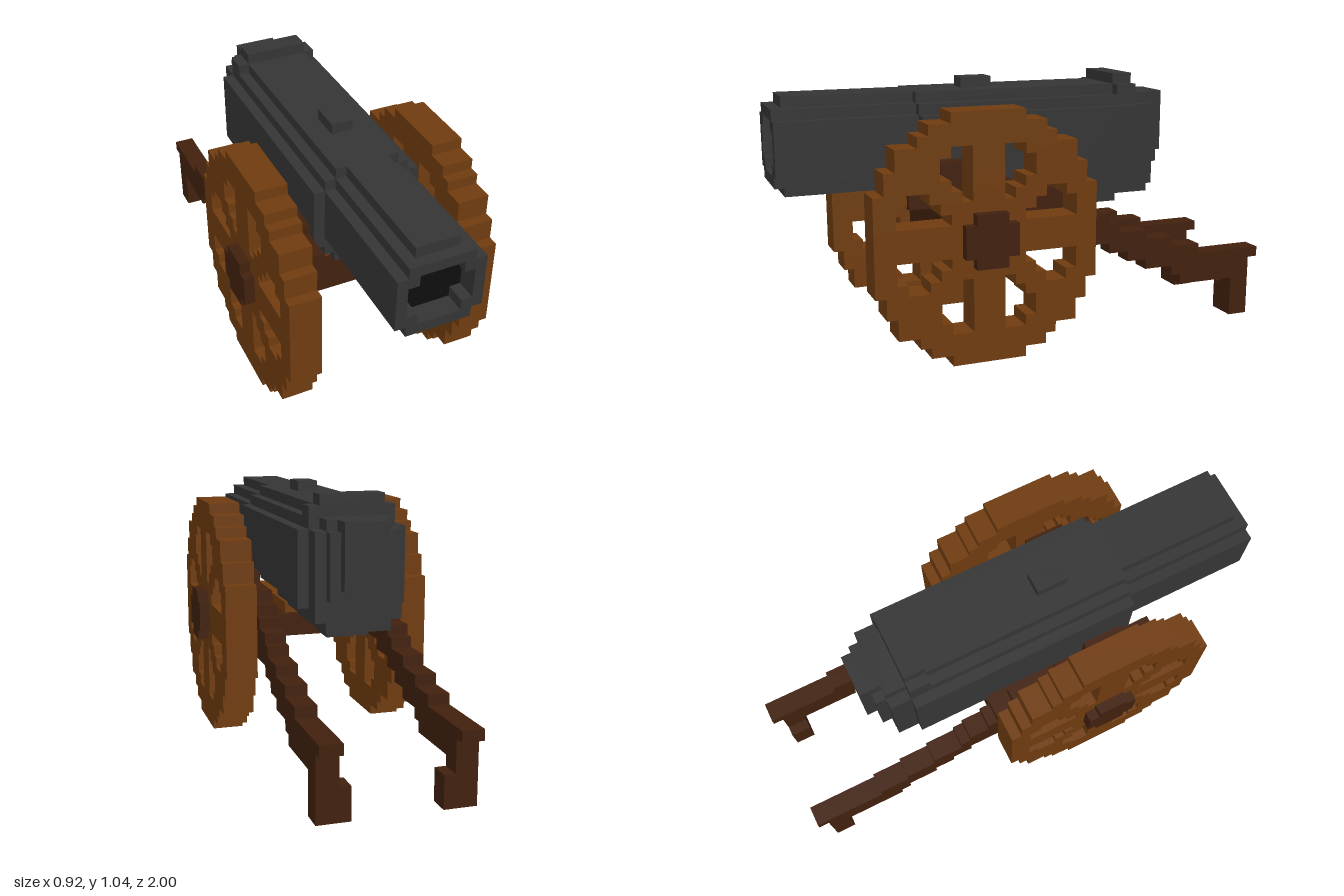
import * as THREE from 'three';
import { mergeGeometries } from 'three/addons/utils/BufferGeometryUtils.js';

const U = 1 / 24; // edge length of one block

const mat = (name, color) => {
  const m = new THREE.MeshStandardMaterial({ color });
  m.name = name;
  return m;
};

// box from block ranges
function box(x0, x1, y0, y1, z0, z1) {
  const g = new THREE.BoxGeometry((x1 - x0) * U, (y1 - y0) * U, (z1 - z0) * U);
  return g.translate((x0 + x1) / 2 * U, (y0 + y1) / 2 * U, (z0 + z1) / 2 * U);
}

// stepped outline from nested rows [halfWidth, bottom, top], widest first
function outline(rows) {
  const right = [];
  rows.forEach(([w, , t], i) => {
    if (i) right.push([w, rows[i - 1][2]]);
    right.push([w, t]);
  });
  const low = [];
  rows.forEach(([w, b], i) => {
    if (i) low.push([w, rows[i - 1][1]]);
    low.push([w, b]);
  });
  const side = [...low.reverse(), ...right];
  const pts = [...side, ...side.map(([x, y]) => [-x, y]).reverse()];
  return pts.map(([x, y]) => new THREE.Vector2(x * U, y * U));
}

function section(rows, z0, z1, hole) {
  const shape = new THREE.Shape(outline(rows));
  if (hole) shape.holes.push(new THREE.Path(outline(hole)));
  const g = new THREE.ExtrudeGeometry(shape, { depth: (z1 - z0) * U, bevelEnabled: false });
  return g.translate(0, 0, z0 * U);
}

// spoked wheel made of block runs, row by row
function wheelGeometry() {
  const half = j => {
    const a = Math.abs(j);
    return a > 10 ? 3 : a > 9 ? 5 : a > 8 ? 6 : a > 6 ? 8 : a > 4 ? 9 : 10;
  };
  const solid = (i, j) => {
    const a = Math.abs(i), b = Math.abs(j);
    if (a > half(j)) return false;
    return a * a + b * b > 73 || a <= 1 || b <= 1 || Math.abs(a - b) <= 1;
  };
  const parts = [];
  for (let j = -11; j <= 11; j++) {
    let start = null;
    for (let i = -10; i <= 11; i++) {
      if (solid(i, j)) start ??= i;
      else if (start !== null) {
        parts.push(box(7, 10, j + 11, j + 12, start + 6, i + 6));
        start = null;
      }
    }
  }
  return mergeGeometries(parts);
}

export function createModel() {
  const iron = mat('dark iron', 0x353535);
  const black = mat('bore black', 0x0e0e0e);
  const wood = mat('brown wood', 0x703c0f);
  const darkWood = mat('dark wood', 0x42210e);
  const model = new THREE.Group();
  model.name = 'fieldCannon';
  const add = (name, geometry, material, parent = model) => {
    const m = new THREE.Mesh(geometry, material);
    m.name = name;
    parent.add(m);
    return m;
  };

  // barrel
  const barrel = new THREE.Group();
  barrel.name = 'barrel';
  model.add(barrel);
  const bore = [[3, 18, 21], [2, 17, 22]];
  const front = [[4, 17, 22], [3, 16, 23], [2, 15, 24]];
  add('muzzleLip', section(front.slice(0, 2), 23, 24, bore), iron, barrel);
  add('muzzleRing', section(front, 22, 23, bore), iron, barrel);
  add('chase', section(front, 11, 22), iron, barrel);
  add('boreBack', section(bore, 22, 22.1), black, barrel);
  add('reinforce', section([[5, 16, 22], [4, 15, 23], [3, 14, 24]], -4, 11), iron, barrel);
  add('rearReinforce', section([[5, 15, 22], [4, 14, 23], [3, 13, 24]], -9, -4), iron, barrel);
  add('breechBand', section([[5, 15, 22], [4, 14, 24], [3, 13, 25]], -11, -9), iron, barrel);
  add('breech', section([[4, 14, 22], [3, 13, 23]], -13, -11), iron, barrel);
  add('breechPlate', box(-3, 3, 16, 22, -14, -13), iron, barrel);
  add('breechKnob', box(-2, 2, 17, 23, -15, -13), iron, barrel);
  add('sight', box(-1, 1, 24, 25, 3, 6), iron, barrel);
  add('breechFoot', box(-2, 2, 12, 13, -10, -7), iron, barrel);

  // axle and bed
  add('axle', box(-7, 7, 9, 13, 4, 9), darkWood);
  add('bed', box(-5, 5, 11, 13, -4, 9), darkWood);
  add('cradle', box(-3, 4, 13, 14, -3, 9), wood);
  add('bolster', box(-5, 5, 12.9, 13.9, 4, 8.9), darkWood);

  // stepped cheek and trail: [z0, z1, y0, y1]
  const trail = [
    [10, 13, 14, 17], [6, 10, 13, 18], [3, 6, 11, 16], [-2, 3, 10, 15], [-4, -2, 10, 14],
    [-5, -4, 9, 13], [-7, -5, 9, 12], [-8, -7, 8, 11], [-9, -8, 8, 10], [-11, -9, 7, 10],
    [-14, -11, 6, 9], [-15, -14, 5, 8], [-17, -15, 4, 8], [-21, -17, 4, 7],
    [-23, -21, 0, 7], [-24, -23, 6, 7],
  ];

  for (const [side, s] of [['left', 1], ['right', -1]]) {
    const mx = (x0, x1, ...r) => (s > 0 ? box(x0, x1, ...r) : box(-x1, -x0, ...r));
    add(side + 'Trail', mergeGeometries(trail.map(([z0, z1, y0, y1]) => mx(5, 7, y0, y1, z0, z1))), darkWood);
    add(side + 'TrailFoot', mx(4, 5, 0, 3, -23, -21), darkWood);
    const wheel = wheelGeometry();
    if (s < 0) wheel.translate(-17 * U, 0, 0);
    add(side + 'Wheel', wheel, wood);
    // hub with notched corners
    add(side + 'Hub', mergeGeometries([mx(7, 11, 10, 13, 4, 9), mx(7, 11, 9, 14, 5, 8)]), darkWood);
  }
  return model;
}
